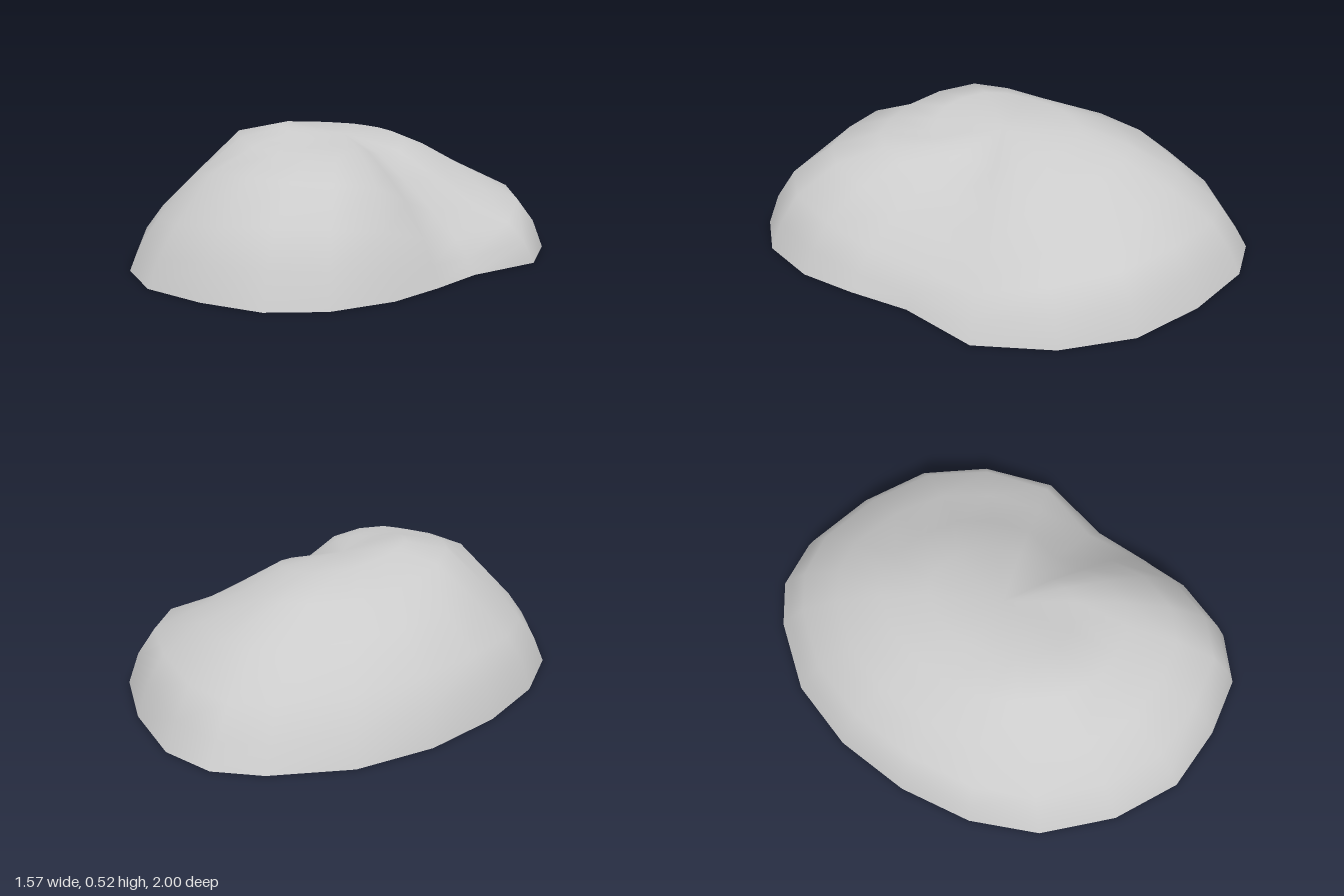
import * as THREE from 'three';

// Base outline, running back -> left -> front -> right as [x, z]
const outline = [
  [0.045, -1], [0.25, -0.95], [0.49, -0.77], [0.69, -0.54], [0.785, -0.26],
  [0.785, 0.05], [0.6, 0.31], [0.51, 0.54], [0.41, 0.75], [0.24, 0.93],
  [0.04, 1], [-0.2, 0.95], [-0.45, 0.84], [-0.64, 0.62], [-0.77, 0.33],
  [-0.785, 0.04], [-0.72, -0.26], [-0.59, -0.55], [-0.4, -0.79], [-0.14, -0.95],
];

// Radial cross-sections: heights at each ring, for every second outline point
const ringT = [0.3, 0.5, 0.7, 0.87, 0.95, 1];
const centreHeight = 0.475;
const sections = [
  [0.48, 0.43, 0.325, 0.195, 0.085, 0],  // back
  [0.465, 0.4, 0.315, 0.225, 0.12, 0],   // back ridge
  [0.43, 0.335, 0.245, 0.2, 0.11, 0],    // left shoulder
  [0.405, 0.31, 0.21, 0.12, 0.055, 0],   // left hollow
  [0.445, 0.405, 0.34, 0.21, 0.1, 0],    // front left
  [0.455, 0.44, 0.375, 0.25, 0.13, 0],   // front
  [0.495, 0.455, 0.375, 0.205, 0.1, 0],  // front right
  [0.52, 0.49, 0.33, 0.19, 0.1, 0],      // summit side
  [0.51, 0.445, 0.36, 0.23, 0.14, 0],    // right
  [0.495, 0.435, 0.35, 0.22, 0.1, 0],    // back right
];

// Height on ring r at outline point i; odd points are a smooth blend of neighbours
function heightAt(r, i) {
  const n = sections.length;
  const h = (k) => sections[(k + n) % n][r];
  const k = Math.floor(i / 2);
  if (i % 2 === 0) return h(k);
  return (9 * (h(k) + h(k + 1)) - h(k - 1) - h(k + 2)) / 16;
}

function domeGeometry() {
  const n = outline.length;
  const positions = [0, centreHeight, 0];
  ringT.forEach((t, r) => {
    outline.forEach(([x, z], i) => positions.push(x * t, heightAt(r, i), z * t));
  });

  const index = [];
  const id = (r, i) => 1 + r * n + (i % n);
  for (let i = 0; i < n; i++) {
    index.push(0, id(0, i + 1), id(0, i));
    for (let r = 0; r < ringT.length - 1; r++) {
      const a = id(r, i), b = id(r, i + 1), c = id(r + 1, i), d = id(r + 1, i + 1);
      index.push(a, b, d, a, d, c);
    }
  }

  const geometry = new THREE.BufferGeometry();
  geometry.setAttribute('position', new THREE.Float32BufferAttribute(positions, 3));
  geometry.setIndex(index);
  geometry.computeVertexNormals();
  return geometry;
}

export function createModel() {
  const group = new THREE.Group();
  group.name = 'rock';

  // Open-bottomed boulder shell
  const shell = new THREE.Mesh(
    domeGeometry(),
    new THREE.MeshStandardMaterial({ color: 0xcccccc, side: THREE.DoubleSide })
  );
  shell.name = 'boulderShell';
  group.add(shell);
  return group;
}
